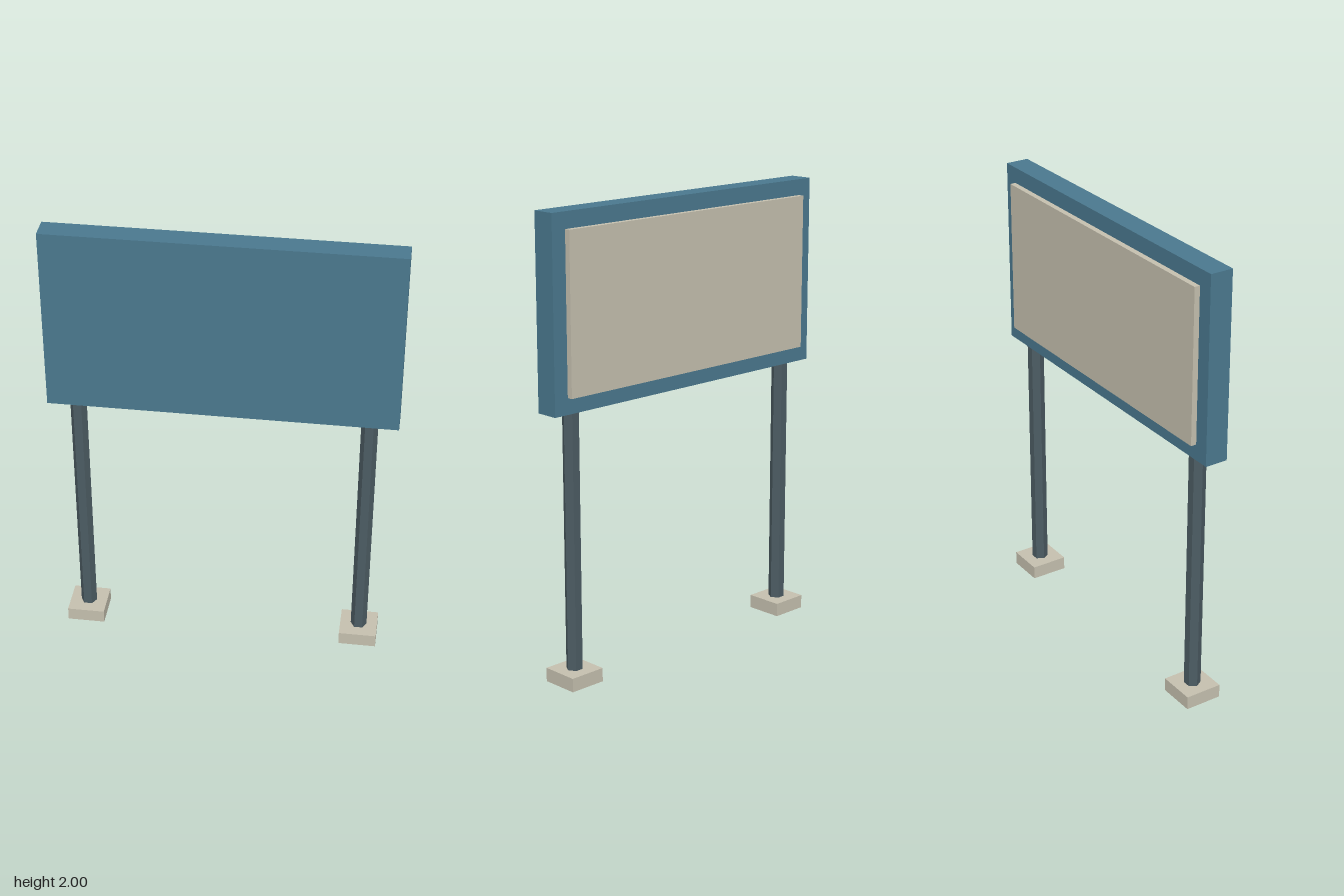
import * as THREE from 'three';

const flat = (name, color) => {
  const m = new THREE.MeshStandardMaterial({ color, flatShading: true });
  m.name = name;
  return m;
};

export function createModel() {
  const blue = flat('boardBlue', 0x4a788e);
  const beige = flat('concreteBeige', 0xc4bfae);
  const steel = flat('postSteel', 0x4c5c63);

  const model = new THREE.Group();
  model.name = 'billboard';

  const add = (name, geometry, material, x, y, z) => {
    const mesh = new THREE.Mesh(geometry, material);
    mesh.name = name;
    mesh.position.set(x, y, z);
    model.add(mesh);
  };

  // Sign board with a raised panel on its back
  add('board', new THREE.BoxGeometry(1.5, 0.82, 0.102), blue, 0, 1.59, 0);
  add('backPanel', new THREE.BoxGeometry(1.364, 0.68, 0.03), beige, 0, 1.59, -0.061);

  // Hexagonal posts, corners towards the sides, set into square footings
  const postGeometry = new THREE.CylinderGeometry(0.036, 0.036, 1.2, 6).rotateY(Math.PI / 6);
  const footingGeometry = new THREE.BoxGeometry(0.167, 0.06, 0.167);
  for (const [side, x] of [['left', 0.625], ['right', -0.625]]) {
    add(side + 'Post', postGeometry, steel, x, 0.62, 0);
    add(side + 'Footing', footingGeometry, beige, x, 0.03, 0);
  }

  return model;
}
